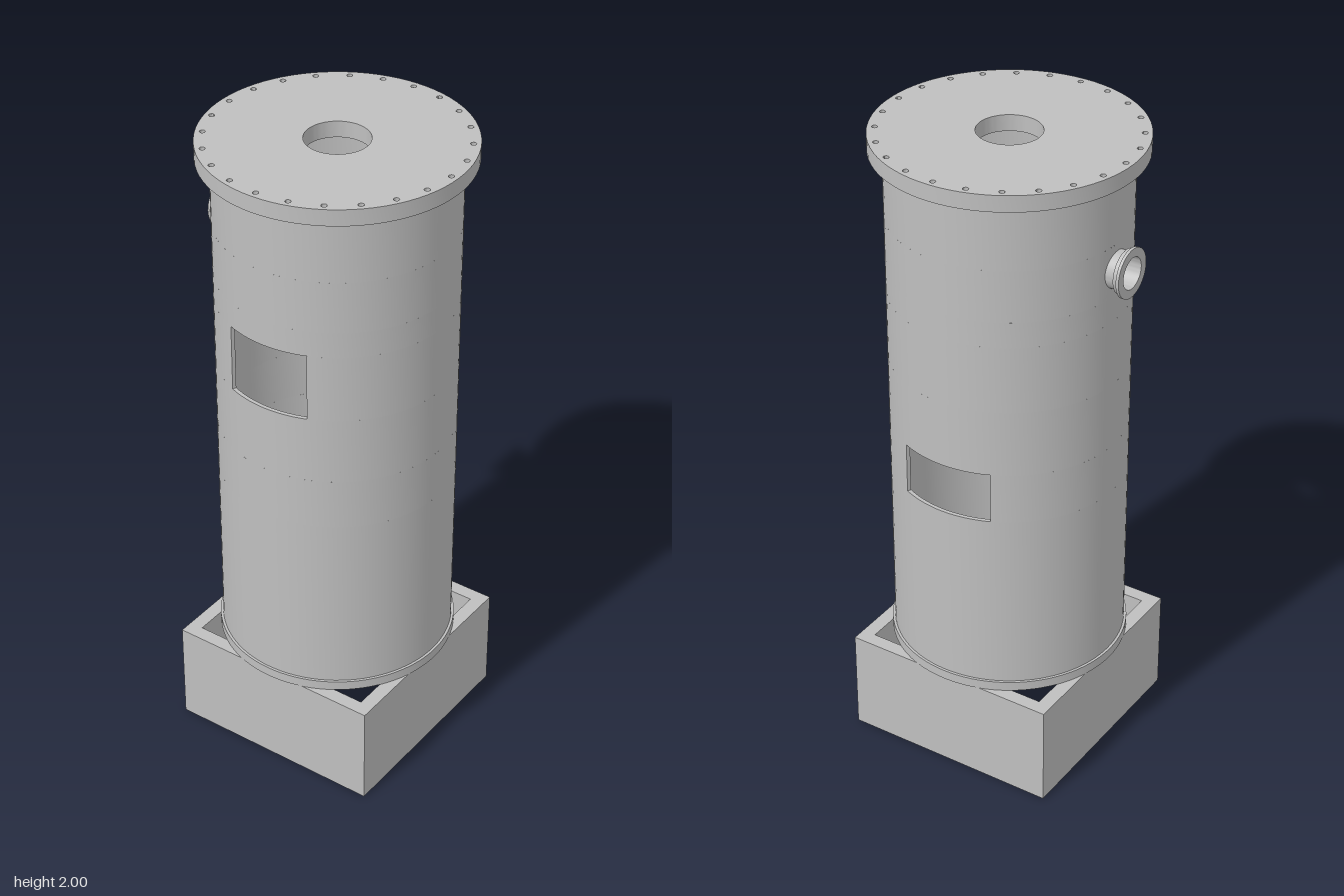
import * as THREE from 'three';
import { toCreasedNormals } from 'three/addons/utils/BufferGeometryUtils.js';
import { ParametricGeometry } from 'three/addons/geometries/ParametricGeometry.js';

const R = 0.354, WALL = 0.012, AXIS_Z = 0.003;

export function createModel() {
  const steel = new THREE.MeshStandardMaterial({ color: 0xbfbfbf });
  steel.name = 'steel grey';
  steel.side = THREE.DoubleSide;
  const model = new THREE.Group();
  model.name = 'vessel';

  const add = (name, geometry, parent = model) => {
    const mesh = new THREE.Mesh(geometry, steel);
    mesh.name = name;
    parent.add(mesh);
    return mesh;
  };

  // Extrudes a plan outline upwards from y0 to y1
  const extrudeUp = (shape, y0, y1, curveSegments = 48) => {
    const g = new THREE.ExtrudeGeometry(shape, { depth: y1 - y0, bevelEnabled: false, curveSegments });
    g.rotateX(-Math.PI / 2).translate(0, y0, 0);
    return toCreasedNormals(g, 0.5);
  };
  const circle = (r, x = 0, y = 0, Type = THREE.Path) => new Type().absarc(x, y, r, 0, Math.PI * 2, false);

  // Open square base frame
  const square = (h, Type) => new Type([[-h, -h], [h, -h], [h, h], [-h, h]].map(([x, y]) => new THREE.Vector2(x, y)));
  const frame = square(0.344, THREE.Shape);
  frame.holes.push(square(0.3, THREE.Path));
  add('baseFrame', extrudeUp(frame, 0, 0.325));

  // Floor plate under the shell
  add('floorPlate', extrudeUp(circle(0.362, 0, 0, THREE.Shape), 0.325, 0.355));

  // Cylindrical shell: full rings, and rings with a gap centred on an angle
  const shell = new THREE.Group();
  shell.name = 'shell';
  model.add(shell);
  const nozzleY = 1.67, patch = 0.08;
  const bands = [
    ['lowerShell', 0.355, 0.93],
    ['lowerWindowBand', 0.93, 1.09, 0, 0.145],
    ['middleShell', 1.09, 1.3],
    ['upperWindowBand', 1.3, 1.51, Math.PI, 0.13],
    ['upperShell', 1.51, nozzleY - patch],
    ['nozzleBand', nozzleY - patch, nozzleY + patch, Math.PI / 2, patch],
    ['topShell', nozzleY + patch, 1.95],
  ];
  for (const [name, y0, y1, centre, halfWidth] of bands) {
    let shape;
    if (centre === undefined) {
      shape = circle(R, 0, 0, THREE.Shape);
      shape.holes.push(circle(R - WALL));
    } else {
      const half = Math.asin(halfWidth / R);
      const a0 = centre + half, a1 = centre - half + Math.PI * 2;
      shape = new THREE.Shape().absarc(0, 0, R, a0, a1, false);
      shape.absarc(0, 0, R - WALL, a1, a0, true);
    }
    add(name, extrudeUp(shape, y0, y1), shell);
  }

  // Curved wall patch around the nozzle bore, from circle out to square
  const bore = 0.048, patchAngle = Math.asin(patch / R);
  for (const [name, r] of [['nozzlePatchOuter', R], ['nozzlePatchInner', R - WALL]]) {
    add(name, new ParametricGeometry((u, v, target) => {
      const a = -u * Math.PI * 2, c = Math.cos(a), s = Math.sin(a);
      const k = 1 / Math.max(Math.abs(c), Math.abs(s));
      const across = THREE.MathUtils.lerp(Math.asin(bore * c / R), patchAngle * c * k, v);
      const up = THREE.MathUtils.lerp(bore * s, patch * s * k, v);
      target.set(r * Math.sin(across), nozzleY + up, -r * Math.cos(across));
    }, 48, 4), shell);
  }

  // Flanged nozzle on the back, turned around its own axis
  const profile = [
    [bore, 0.338], [bore, 0.403], [0.075, 0.403], [0.075, 0.394], [0.067, 0.394],
    [0.067, 0.38], [0.057, 0.38], [0.057, 0.338], [bore, 0.338],
  ].map(([r, d]) => new THREE.Vector2(r, d));
  const nozzle = new THREE.LatheGeometry(profile.reverse(), 48);
  nozzle.rotateX(-Math.PI / 2).translate(0, nozzleY, 0);
  add('nozzle', toCreasedNormals(nozzle.toNonIndexed(), 0.5));

  // Lid flange with a centre opening and a ring of bolt holes
  const lid = circle(0.395, 0, 0, THREE.Shape);
  lid.holes.push(circle(0.095));
  for (let i = 0; i < 24; i++) {
    const a = i * Math.PI / 12;
    lid.holes.push(circle(0.0085, 0.373 * Math.cos(a), 0.373 * Math.sin(a)));
  }
  add('lid', extrudeUp(lid, 1.95, 2, 40));

  for (const part of model.children) part.position.z = AXIS_Z;
  return model;
}
